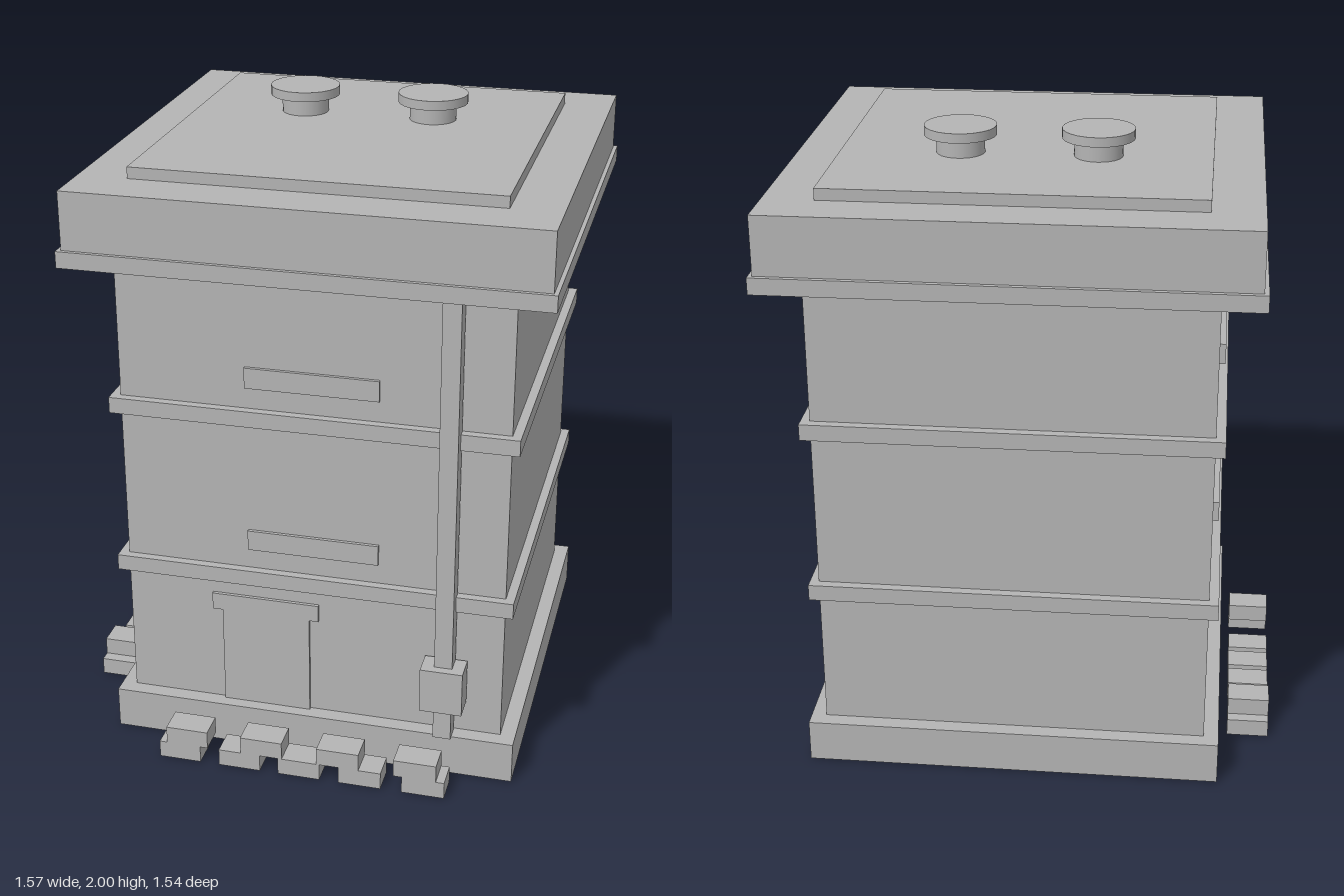
import * as THREE from 'three';

export function createModel() {
  const model = new THREE.Group();
  model.name = 'beehive';
  const grey = new THREE.MeshStandardMaterial({ color: 0xb4b4b4 });
  grey.name = 'grey';

  const add = (name, geometry) => {
    const mesh = new THREE.Mesh(geometry, grey);
    mesh.name = name;
    model.add(mesh);
    return mesh;
  };
  // Box given by its limits on each axis
  const box = (name, x0, x1, y0, y1, z0, z1) =>
    add(name, new THREE.BoxGeometry(x1 - x0, y1 - y0, z1 - z0))
      .position.set((x0 + x1) / 2, (y0 + y1) / 2, (z0 + z1) / 2);

  // Plinth, hive body and the bands between its storeys
  box('base', -0.62, 0.7, 0, 0.138, -0.69, 0.635);
  box('body', -0.573, 0.652, 0.138, 1.7, -0.64, 0.585);
  for (const y of [0.585, 1.14]) box('band', -0.603, 0.68, y, y + 0.052, -0.67, 0.613);

  // Lid with a hollow rim below and a raised panel on top
  box('lid', -0.69, 0.767, 1.695, 1.878, -0.755, 0.7);
  box('rimFront', -0.704, 0.78, 1.643, 1.695, 0.663, 0.713);
  box('rimBack', -0.704, 0.78, 1.643, 1.695, -0.77, -0.72);
  box('rimRight', -0.704, -0.654, 1.643, 1.695, -0.72, 0.663);
  box('rimLeft', 0.73, 0.78, 1.643, 1.695, -0.72, 0.663);
  box('lidPanel', -0.533, 0.61, 1.878, 1.914, -0.603, 0.54);

  // Round vents on the lid
  for (const x of [-0.183, 0.24]) {
    add('ventStem', new THREE.CylinderGeometry(0.075, 0.075, 0.06, 24)).position.set(x, 1.942, -0.19);
    add('ventCap', new THREE.CylinderGeometry(0.112, 0.112, 0.03, 24)).position.set(x, 1.985, -0.19);
  }

  // Hand grips on the front and right walls
  for (const y of [0.705, 1.262]) {
    box('frontGrip', -0.17, 0.25, y, y + 0.067, 0.58, 0.596);
    box('sideGrip', -0.594, -0.57, y, y + 0.067, -0.24, 0.18);
  }

  // T-shaped entrance panel
  const door = new THREE.Shape([
    [-0.26, 0.138], [0.027, 0.138], [0.027, 0.473], [0.057, 0.473],
    [0.057, 0.53], [-0.293, 0.53], [-0.293, 0.473], [-0.26, 0.473],
  ].map(([x, y]) => new THREE.Vector2(x, y)));
  add('entrance', new THREE.ExtrudeGeometry(door, { depth: 0.015, bevelEnabled: false }))
    .position.z = 0.581;

  // Pipe on the front with its junction box
  box('pipe', 0.445, 0.502, 0.138, 1.643, 0.592, 0.65);
  box('pipeBox', 0.405, 0.54, 0.25, 0.4, 0.592, 0.678);

  // Stacked bricks in front, then on the right side
  for (const x of [-0.43, -0.23, -0.033, 0.167, 0.372])
    box('frontLowerBrick', x, x + 0.137, 0, 0.057, 0.683, 0.773);
  for (const x of [-0.405, -0.157, 0.095, 0.345])
    box('frontUpperBrick', x, x + 0.137, 0.057, 0.115, 0.683, 0.773);
  for (const z of [-0.42, -0.195, -0.08, 0.036, 0.264])
    box('sideLowerBrick', -0.785, -0.65, 0, 0.057, z, z + 0.092);
  for (const z of [-0.382, 0.226])
    box('sideUpperBrick', -0.785, -0.65, 0.057, 0.115, z, z + 0.092);

  return model;
}
